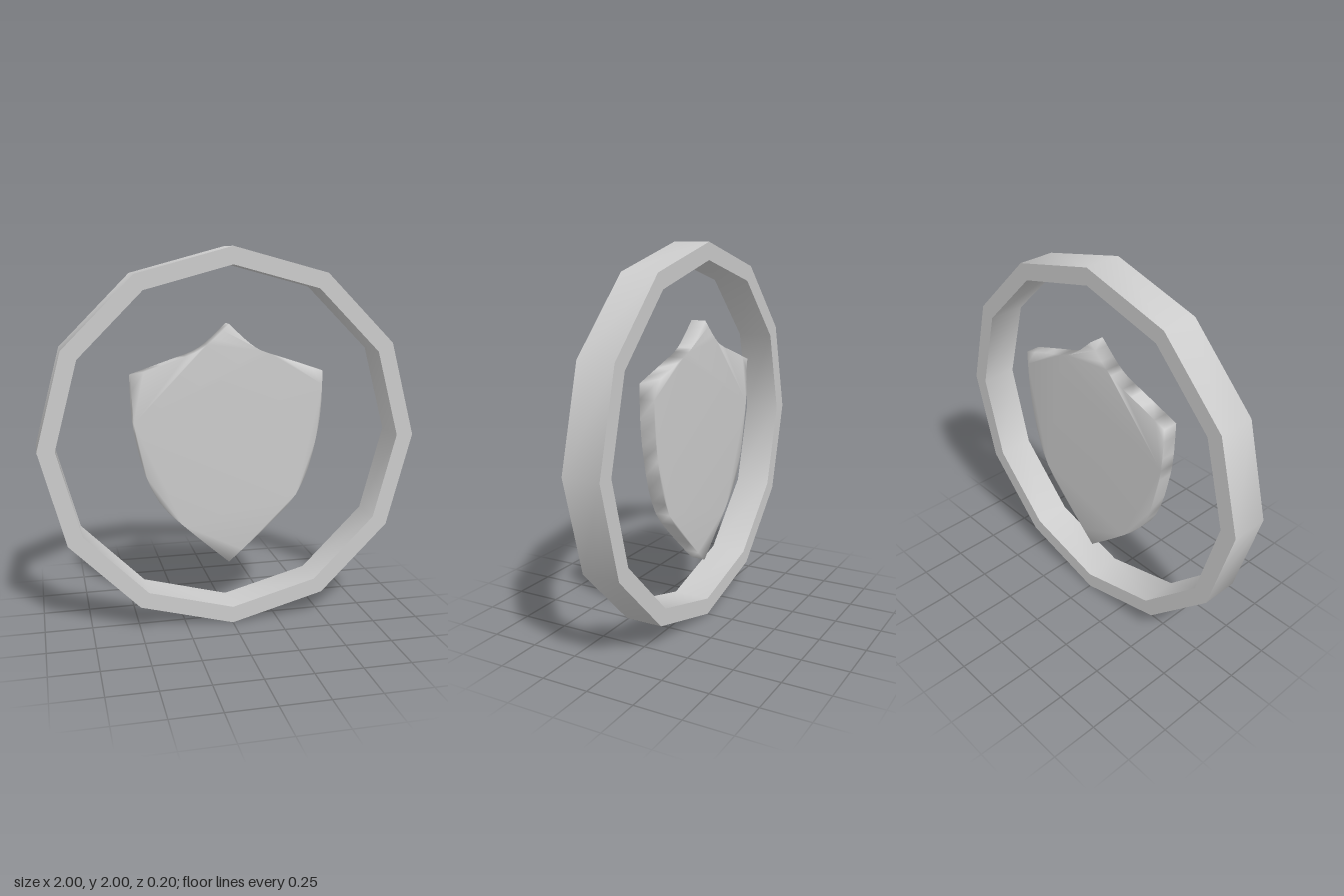
import * as THREE from 'three';
import { mergeVertices, toCreasedNormals } from 'three/addons/utils/BufferGeometryUtils.js';

const material = new THREE.MeshStandardMaterial({ color: 0xcccccc });
const v = (x, y) => new THREE.Vector2(x, y);

// Corners of a regular twelve-sided polygon
const polygon = (radius) => Array.from({ length: 12 }, (_, i) => {
  const a = (i * Math.PI) / 6;
  return v(radius * Math.cos(a), radius * Math.sin(a));
});

// Extrude a shape along z so that it starts at zBack
function extrude(shape, depth, zBack) {
  const geometry = new THREE.ExtrudeGeometry(shape, { depth, bevelEnabled: false });
  return geometry.translate(0, 0, zBack);
}

// Twelve-sided band with smooth walls and sharp rims
function createRing() {
  const shape = new THREE.Shape(polygon(1));
  shape.holes.push(new THREE.Path(polygon(0.91).reverse()));
  const mesh = new THREE.Mesh(toCreasedNormals(extrude(shape, 0.2, -0.1), 0.7), material);
  mesh.name = 'ring';
  mesh.position.y = 1;
  return mesh;
}

// Flat plate whose normals are blended across its edges for a pillowed look
function createShield() {
  const top = new THREE.SplineCurve([
    v(0, 1.607), v(0.1, 1.515), v(0.18, 1.463), v(0.32, 1.415), v(0.513, 1.35),
  ]).getPoints(10);
  const side = new THREE.SplineCurve([
    v(0.513, 1.35), v(0.508, 1.15), v(0.487, 1.0), v(0.44, 0.81), v(0.36, 0.65), v(0.2, 0.49), v(0, 0.313),
  ]).getPoints(14);
  const right = [...top, ...side.slice(1)];
  const left = right.slice(1, -1).reverse().map((p) => v(-p.x, p.y));

  let geometry = extrude(new THREE.Shape([...right, ...left]), 0.08, -0.08);
  geometry.deleteAttribute('normal');
  geometry.deleteAttribute('uv');
  geometry = mergeVertices(geometry, 1e-4);
  geometry.computeVertexNormals();

  const mesh = new THREE.Mesh(geometry, material);
  mesh.name = 'shield';
  return mesh;
}

export function createModel() {
  const model = new THREE.Group();
  model.name = 'shieldInRing';
  model.add(createRing(), createShield());
  return model;
}
